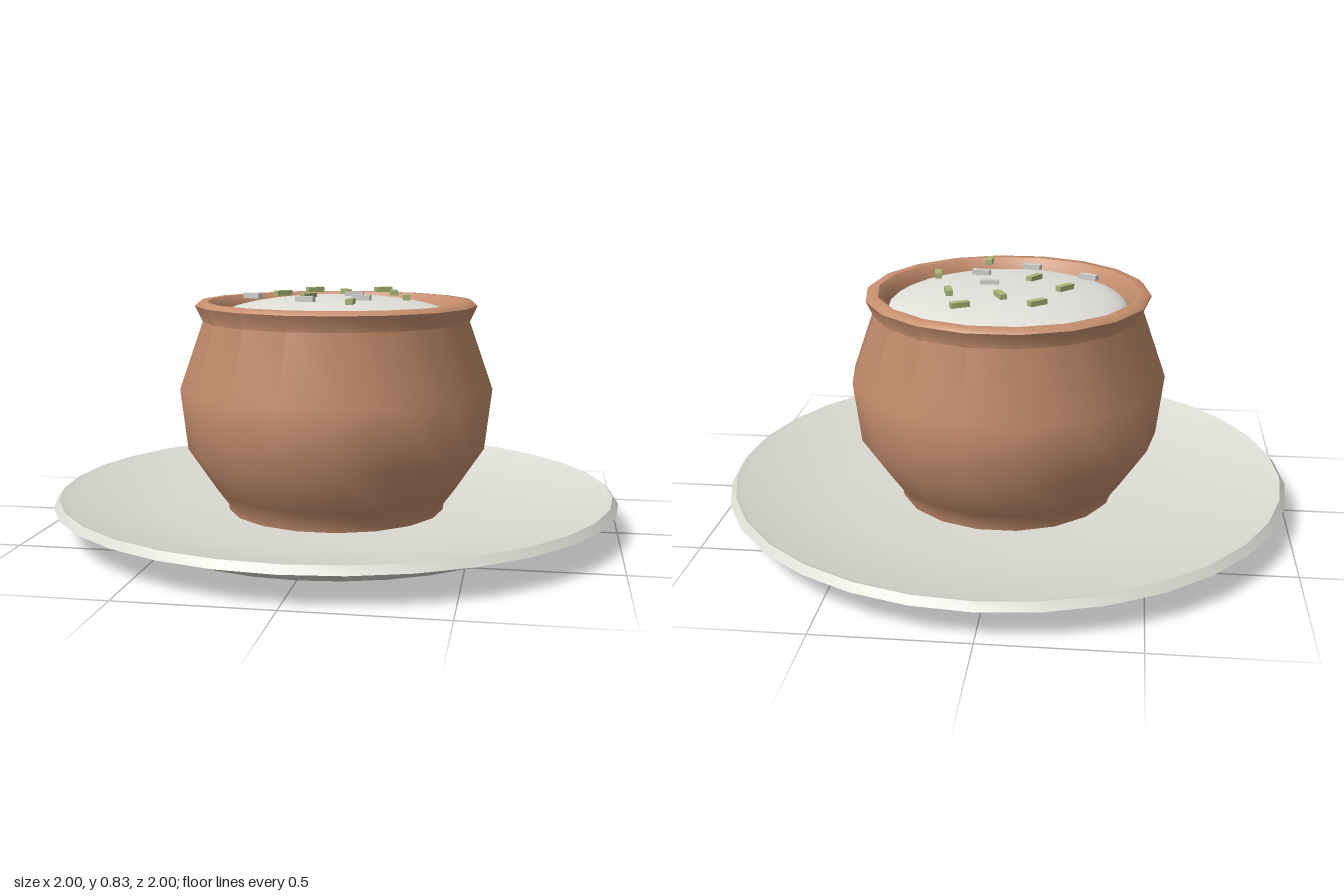
import * as THREE from 'three';
import { toCreasedNormals } from 'three/addons/utils/BufferGeometryUtils.js';

const material = (name, color) => {
  const m = new THREE.MeshStandardMaterial({ color });
  m.name = name;
  return m;
};

// Turned solid from [radius, height] points, ordered from underside to inside
function turned(name, profile, sides, crease, mat) {
  const points = profile.map(([r, y]) => new THREE.Vector2(r, y));
  const lathe = new THREE.LatheGeometry(points, sides, Math.PI / 2);
  const mesh = new THREE.Mesh(toCreasedNormals(lathe, crease), mat);
  mesh.name = name;
  return mesh;
}

export function createModel() {
  const group = new THREE.Group();
  group.name = 'soupBowlOnPlate';
  const ceramic = material('pale ceramic', 0xdcdbd3);
  const clay = material('terracotta', 0xc68f6e);
  const cream = material('cream soup', 0xe0dfd8);
  const green = material('chive green', 0xa9b878);
  const white = material('onion white', 0xcfcfcc);

  // Shallow dished plate
  group.add(turned('plate', [
    [0, 0], [0.72, 0], [0.78, 0.028], [1, 0.105], [0.98, 0.13],
    [0.955, 0.12], [0.6, 0.065], [0, 0.05],
  ], 32, 0.3, ceramic));

  // Round-bellied bowl with flared lip and hollow inside
  group.add(turned('bowl', [
    [0, 0.045], [0.385, 0.045], [0.39, 0.08], [0.43, 0.135], [0.53, 0.285],
    [0.555, 0.5], [0.472, 0.735], [0.498, 0.79], [0.485, 0.803], [0.455, 0.803],
    [0.43, 0.775], [0.418, 0.71], [0.4, 0.6], [0, 0.6],
  ], 18, 0.8, clay));

  // Domed soup surface
  const soup = new THREE.Mesh(
    new THREE.SphereGeometry(1, 32, 10, 0, Math.PI * 2, 0, Math.PI / 2), cream);
  soup.name = 'soup';
  soup.scale.set(0.42, 0.08, 0.42);
  soup.position.y = 0.74;
  group.add(soup);

  // Chopped garnish: x, z, turn in degrees
  const garnish = (name, mat, places) => {
    const geometry = new THREE.BoxGeometry(0.065, 0.018, 0.024);
    for (const [x, z, turn] of places) {
      const piece = new THREE.Mesh(geometry, mat);
      piece.name = name;
      piece.position.set(x, 0.824, z);
      piece.rotation.y = THREE.MathUtils.degToRad(turn);
      group.add(piece);
    }
  };
  garnish('chivePiece', green, [
    [-0.12, -0.235, 40], [0.13, -0.285, 30], [0.01, -0.155, -63], [0.19, -0.125, -75],
    [-0.2, -0.04, 47], [-0.085, 0.08, 58], [0.26, 0.095, -80], [0.1, 0.31, 90],
  ]);
  garnish('onionPiece', white, [
    [0.065, 0, 0], [-0.275, 0.11, -25], [0.11, 0.14, -8], [-0.065, 0.235, -15],
  ]);
  return group;
}
